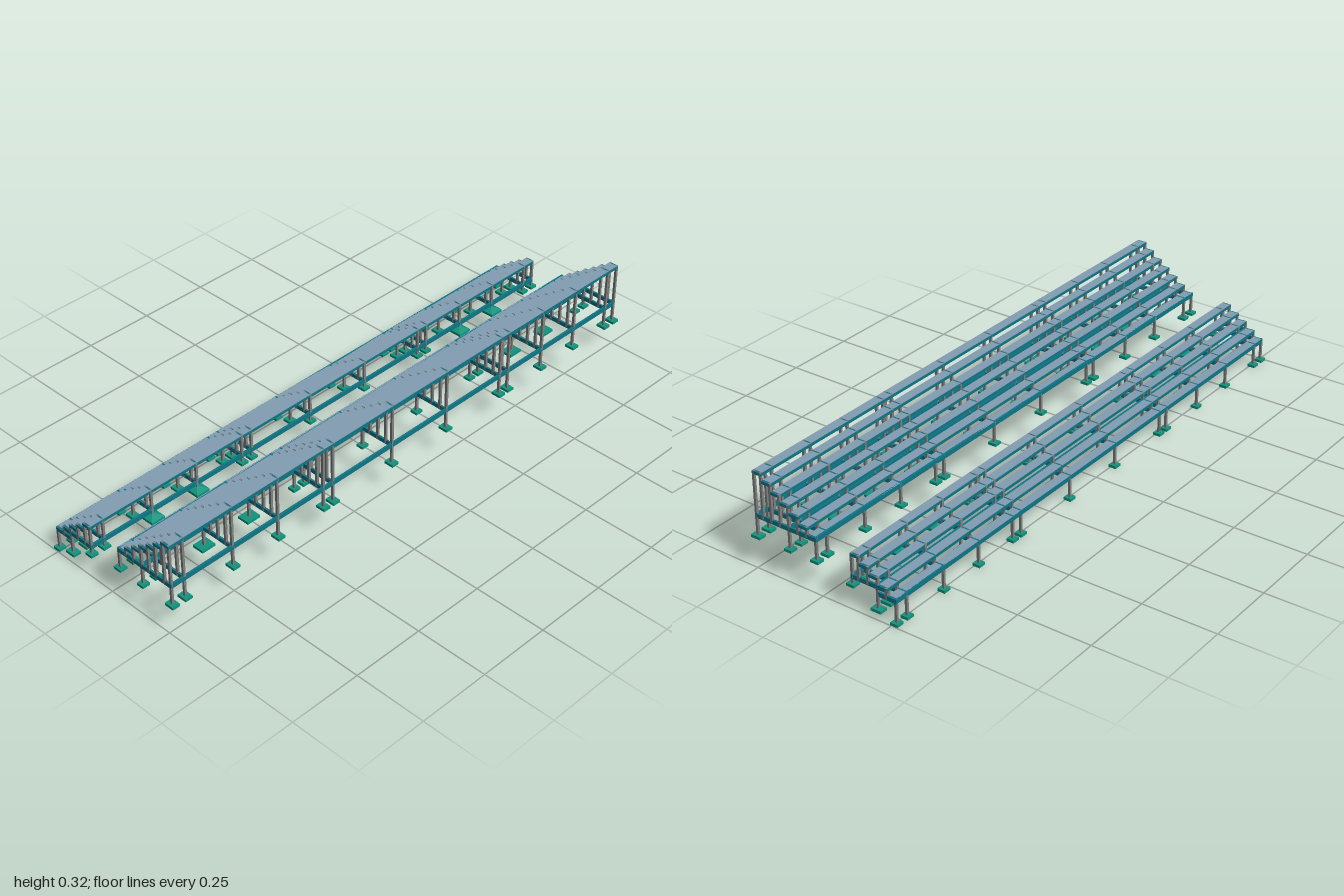
import * as THREE from 'three';

const mat = (color) => new THREE.MeshStandardMaterial({ color });
const deckMat = mat(0x829db3), beamMat = mat(0x0e7686), postMat = mat(0x808080), footMat = mat(0x10957d);

// Positions of the support frames along the stands
const FRAMES = [-0.985, -0.94, -0.775, -0.612, -0.447, -0.407, -0.155, 0.09, 0.345, 0.385, 0.572, 0.752, 0.937, 0.985];
const WIDE = [2, 3, 10, 11]; // frames whose inner feet are broad
const POST = 0.008;

// Box given by its limits on each axis
function box(parent, name, material, x0, x1, y0, y1, z0, z1) {
  const m = new THREE.Mesh(new THREE.BoxGeometry(x1 - x0, y1 - y0, z1 - z0), material);
  m.position.set((x0 + x1) / 2, (y0 + y1) / 2, (z0 + z1) / 2);
  m.name = name;
  parent.add(m);
}

// Upright post centred on x, z
function post(parent, x, y0, y1, z) {
  const h = POST / 2;
  box(parent, 'post', postMat, x - h, x + h, y0, y1, z - h, z + h);
}

// Base pad; broad pads carry a tapered cap
function foot(parent, x, y, z, w, d, tapered) {
  box(parent, 'foot', footMat, x - w / 2, x + w / 2, y, y + 0.009, z - d / 2, z + d / 2);
  if (!tapered) return;
  const g = new THREE.CylinderGeometry(POST / Math.SQRT2, Math.SQRT1_2, 0.009, 4, 1).rotateY(Math.PI / 4);
  const p = g.attributes.position;
  for (let i = 0; i < p.count; i++) {
    if (p.getY(i) < 0) p.setXYZ(i, p.getX(i) * w, p.getY(i), p.getZ(i) * d);
  }
  const flat = g.toNonIndexed();
  flat.computeVertexNormals();
  const cap = new THREE.Mesh(flat, footMat);
  cap.name = 'footCap';
  cap.position.set(x, y + 0.0135, z);
  parent.add(cap);
}

function stand(name, { x0, x1, tops, legs, beams, rails, shortPosts }) {
  const g = new THREE.Group();
  g.name = name;
  const pitch = 0.033, end = 0.989;

  // Stepped benches: framed edge below, deck panels split at the frames
  tops.forEach((y, i) => {
    const a = x0 + i * pitch, b = i === tops.length - 1 ? x1 : a + pitch;
    box(g, 'benchFrame', beamMat, a, b, y - 0.011, y - 0.0015, -end, end);
    for (let k = 0; k < FRAMES.length - 1; k++) {
      box(g, 'benchDeck', deckMat, a + 0.001, b - 0.001, y - 0.0015, y, FRAMES[k] + 0.003, FRAMES[k + 1] - 0.003);
    }
  });

  // Long rails
  for (const [x, y] of rails) box(g, 'longRail', beamMat, x - 0.0035, x + 0.0035, y - 0.0155, y, -end, end);

  // Cross frames
  FRAMES.forEach((z, k) => {
    for (const [a, b, y] of beams) box(g, 'crossBeam', beamMat, a, b, y - 0.0155, y - 0.001, z - 0.0035, z + 0.0035);
    for (const [x, y0, y1] of shortPosts) post(g, x, y0, y1 - 0.001, z);
    for (const { x, y, top, w, wide } of legs) {
      const broad = wide && WIDE.includes(k);
      post(g, x, y + 0.008, top - 0.001, z);
      foot(g, x, y, z, broad ? wide : w, broad ? 0.05 : 0.027, broad && wide > 0.05);
    }
  });
  return g;
}

export function createModel() {
  const model = new THREE.Group();
  model.name = 'bleachers';

  // Tall seven-step stand
  const tallTops = [0.178, 0.201, 0.225, 0.249, 0.272, 0.297, 0.32];
  model.add(stand('tallStand', {
    x0: 0.025, x1: 0.257, tops: tallTops,
    legs: [
      { x: 0.029, y: 0.097, top: 0.178, w: 0.029 },
      { x: 0.129, y: 0.097, top: 0.249, w: 0.026, wide: 0.042 },
      { x: 0.253, y: 0.097, top: 0.32, w: 0.034 },
    ],
    beams: [[0.025, 0.257, 0.178]],
    rails: [[0.029, 0.178], [0.129, 0.178], [0.253, 0.178]],
    shortPosts: [1, 2, 4, 5, 6].map((i) => [0.029 + i * 0.033, 0.165, tallTops[i]]),
  }));

  // Low five-step stand on ground of three levels
  model.add(stand('lowStand', {
    x0: -0.262, x1: -0.098, tops: [0.085, 0.108, 0.133, 0.155, 0.178],
    legs: [
      { x: -0.258, y: 0, top: 0.085, w: 0.026 },
      { x: -0.193, y: 0.021, top: 0.133, w: 0.037 },
      { x: -0.102, y: 0.07, top: 0.178, w: 0.028, wide: 0.056 },
    ],
    beams: [[-0.262, -0.193, 0.085], [-0.229, -0.098, 0.108]],
    rails: [[-0.258, 0.085], [-0.193, 0.108], [-0.102, 0.108]],
    shortPosts: [[-0.225, 0.07, 0.108], [-0.159, 0.094, 0.155], [-0.126, 0.094, 0.178]],
  }));

  return model;
}
